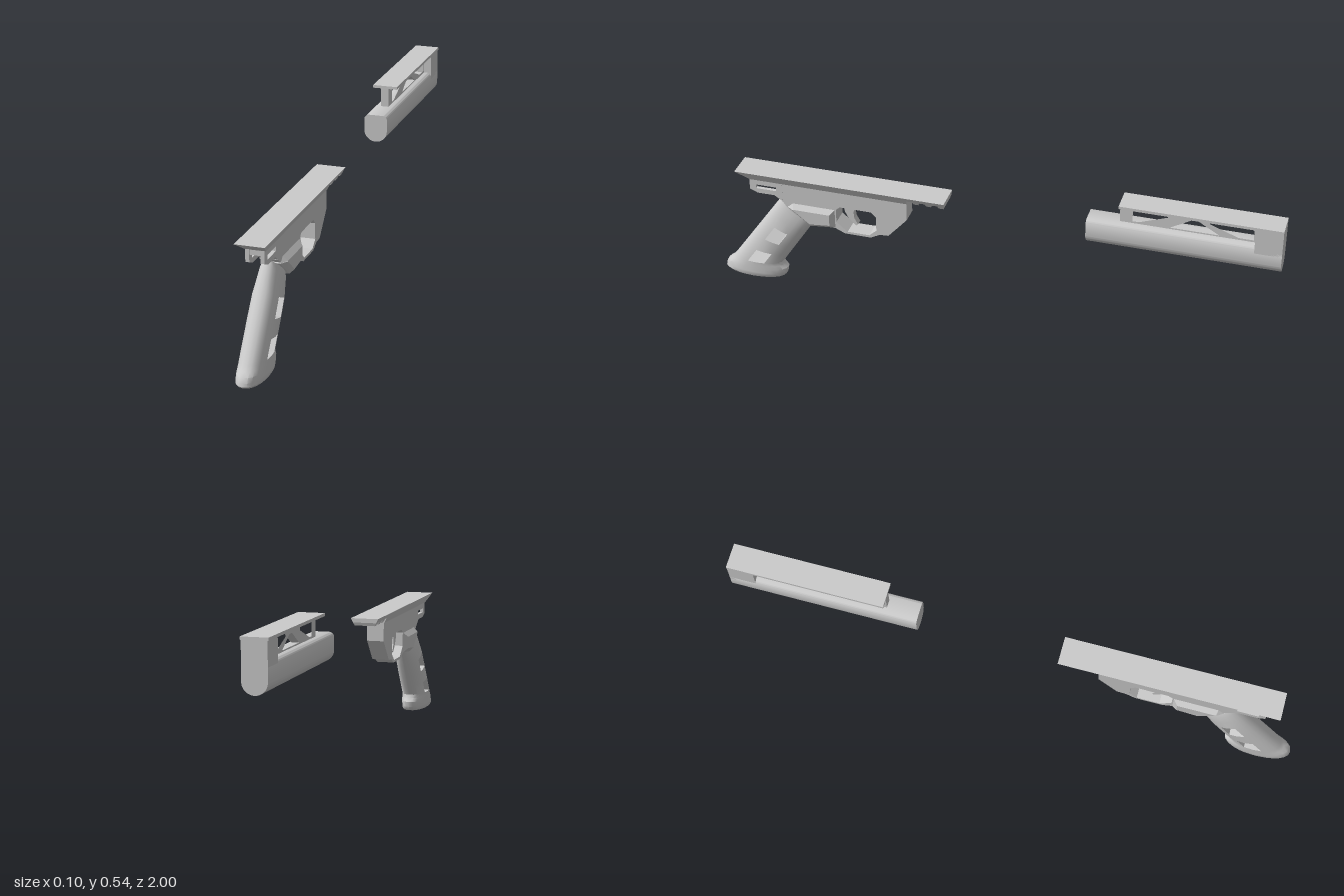
import * as THREE from 'three';
import { toCreasedNormals } from 'three/addons/utils/BufferGeometryUtils.js';

const material = new THREE.MeshStandardMaterial({ color: 0xcccccc });
const thinMaterial = new THREE.MeshStandardMaterial({ color: 0xcccccc, side: THREE.DoubleSide });

function add(parent, name, geometry, mat = material) {
  const mesh = new THREE.Mesh(geometry, mat);
  mesh.name = name;
  parent.add(mesh);
  return mesh;
}

const toVectors = (pts) => pts.map(([a, b]) => new THREE.Vector2(a, b));

// Side outline given as [z, y], extruded across x and centred on x
function sidePlate(outline, halfWidth, holes = [], bevel = 0) {
  const shape = new THREE.Shape(toVectors(outline));
  for (const hole of holes) shape.holes.push(new THREE.Path(toVectors(hole)));
  const depth = 2 * (halfWidth - bevel);
  const geometry = new THREE.ExtrudeGeometry(shape, {
    depth, bevelEnabled: bevel > 0, bevelSegments: 1,
    bevelThickness: bevel, bevelSize: bevel, bevelOffset: -bevel,
  });
  return geometry.translate(0, 0, -depth / 2).rotateY(-Math.PI / 2);
}

function box(x, y0, y1, z0, z1) {
  return new THREE.BoxGeometry(2 * x, y1 - y0, z1 - z0).translate(0, (y0 + y1) / 2, (z0 + z1) / 2);
}

// Oval grip lofted from leaning sections, with windows passing through it
function gripGeometry() {
  const lean = (s, w) => [0.768 + 0.197 * s, 0.335 - 0.28 * s, 0.655 + 0.125 * s, 0.245 - 0.19 * s, w];
  // Each row: front z, front y, back z, back y, half width
  const rows = [
    [0.71, 0.29, 0.71, 0.29, 0],
    lean(0, 0.031), lean(0.06, 0.037), lean(0.18, 0.041), lean(0.32, 0.046), lean(0.55, 0.047),
    lean(0.76, 0.047), lean(0.97, 0.047),
    [0.972, 0.048, 0.772, 0.048, 0.047], [0.99, 0.035, 0.76, 0.035, 0.047],
    [0.998, 0.02, 0.763, 0.016, 0.047], [1, 0.008, 0.77, 0.004, 0.047],
    [0.99, 0, 0.776, 0, 0.044], [0.88, 0, 0.88, 0, 0],
  ];
  const windowRows = [4, 6];
  const half = [0, 15, 30, 45, 58, 70, 90, 110, 122, 135, 150, 165, 180];
  const point = (r, c, side) => {
    const [fz, fy, bz, by, w] = rows[r];
    const a = half[c] * Math.PI / 180, k = (1 + Math.cos(a)) / 2;
    return [side * w * Math.pow(Math.abs(Math.sin(a)), 0.85), by + (fy - by) * k, bz + (fz - bz) * k];
  };
  const data = [];
  const quad = (a, b, c, d) => data.push(...a, ...b, ...c, ...a, ...c, ...d);
  for (let r = 0; r < rows.length - 1; r++) {
    for (let c = 0; c < half.length - 1; c++) {
      if (windowRows.includes(r) && (c === 5 || c === 6)) continue;
      quad(point(r, c, 1), point(r + 1, c, 1), point(r + 1, c + 1, 1), point(r, c + 1, 1));
      quad(point(r, c, -1), point(r, c + 1, -1), point(r + 1, c + 1, -1), point(r + 1, c, -1));
    }
  }
  // Tunnel walls joining the two sides of each window
  for (const r of windowRows) {
    const rim = [[r, 5], [r, 6], [r, 7], [r + 1, 7], [r + 1, 6], [r + 1, 5]];
    rim.forEach(([ra, ca], i) => {
      const [rb, cb] = rim[(i + 1) % rim.length];
      quad(point(ra, ca, 1), point(rb, cb, 1), point(rb, cb, -1), point(ra, ca, -1));
    });
  }
  const geometry = new THREE.BufferGeometry();
  geometry.setAttribute('position', new THREE.Float32BufferAttribute(data, 3));
  return toCreasedNormals(geometry, 0.6);
}

// Top rail: sides slope inwards below, cross slots near the rear end
function railGeometry() {
  const outline = [[0.92, 0.44], [0.87, 0.408], [0.292, 0.408], [0.292, 0.425]];
  for (const z of [0.27, 0.225, 0.18]) {
    outline.push([z, 0.425], [z - 0.004, 0.414], [z - 0.021, 0.414], [z - 0.025, 0.425]);
  }
  outline.push([0.155, 0.425], [0.155, 0.44]);
  const geometry = sidePlate(outline, 0.05);
  const p = geometry.attributes.position;
  for (let i = 0; i < p.count; i++) {
    p.setX(i, p.getX(i) * (0.68 + 0.32 * (p.getY(i) - 0.408) / 0.032));
  }
  geometry.computeVertexNormals();
  return geometry;
}

function createFrame() {
  const frame = new THREE.Group();
  frame.name = 'gripFrame';
  add(frame, 'topRail', railGeometry());

  // Receiver body with the finger opening
  const opening = [[0.555, 0.335], [0.54, 0.348], [0.425, 0.348], [0.408, 0.33],
    [0.408, 0.275], [0.435, 0.251], [0.515, 0.251], [0.555, 0.285]];
  add(frame, 'receiver', sidePlate([
    [0.755, 0.41], [0.755, 0.335], [0.65, 0.258], [0.56, 0.258], [0.525, 0.242], [0.43, 0.242],
    [0.396, 0.26], [0.364, 0.262], [0.295, 0.34], [0.295, 0.41],
  ], 0.031, [opening]));
  add(frame, 'raisedPanel', sidePlate([
    [0.735, 0.315], [0.715, 0.333], [0.56, 0.333], [0.56, 0.26], [0.655, 0.25],
  ], 0.047, [], 0.016));

  // Slotted cheeks ahead of the receiver
  const slot = [[0.85, 0.388], [0.775, 0.388], [0.775, 0.373], [0.85, 0.373]];
  for (const side of [1, -1]) {
    const cheek = add(frame, side > 0 ? 'leftCheek' : 'rightCheek', sidePlate([
      [0.873, 0.41], [0.873, 0.367], [0.845, 0.355], [0.782, 0.355], [0.752, 0.335], [0.752, 0.41],
    ], 0.0065, [slot]));
    cheek.position.x = side * 0.025;
  }
  add(frame, 'cheekBridge', box(0.019, 0.39, 0.41, 0.752, 0.868));

  // Curved lever inside the opening
  add(frame, 'lever', sidePlate([
    [0.535, 0.352], [0.528, 0.32], [0.515, 0.295], [0.49, 0.27], [0.482, 0.276],
    [0.495, 0.3], [0.497, 0.325], [0.485, 0.352],
  ], 0.012));

  add(frame, 'grip', gripGeometry(), thinMaterial);
  return frame;
}

function createHandguard() {
  const guard = new THREE.Group();
  guard.name = 'handguard';

  // Long body with a rounded underside
  const section = new THREE.Shape();
  section.moveTo(-0.042, 0.407);
  section.lineTo(-0.042, 0.452);
  section.quadraticCurveTo(-0.038, 0.462, -0.028, 0.465);
  section.lineTo(0.028, 0.465);
  section.quadraticCurveTo(0.038, 0.462, 0.042, 0.452);
  section.lineTo(0.042, 0.407);
  section.absellipse(0, 0.407, 0.042, 0.041, 0, -Math.PI, true);
  const body = new THREE.ExtrudeGeometry(section, { depth: 0.66, bevelEnabled: false, curveSegments: 16 });
  add(guard, 'guardBody', toCreasedNormals(body.translate(0, 0, -1), 0.6));

  add(guard, 'endBlock', box(0.042, 0.44, 0.532, -1, -0.908));
  add(guard, 'guardRail', box(0.045, 0.532, 0.542, -1, -0.45));

  // Truss web between body and rail
  add(guard, 'trussWeb', sidePlate([[-0.45, 0.535], [-0.45, 0.46], [-0.91, 0.46], [-0.91, 0.535]], 0.014, [
    [[-0.493, 0.52], [-0.493, 0.472], [-0.515, 0.472], [-0.612, 0.508], [-0.612, 0.52]],
    [[-0.62, 0.47], [-0.69, 0.511], [-0.715, 0.511], [-0.785, 0.47]],
    [[-0.752, 0.52], [-0.752, 0.508], [-0.85, 0.472], [-0.9, 0.472], [-0.9, 0.508], [-0.89, 0.52]],
  ]));
  return guard;
}

export function createModel() {
  const model = new THREE.Group();
  model.name = 'model';
  model.add(createFrame(), createHandguard());
  return model;
}
